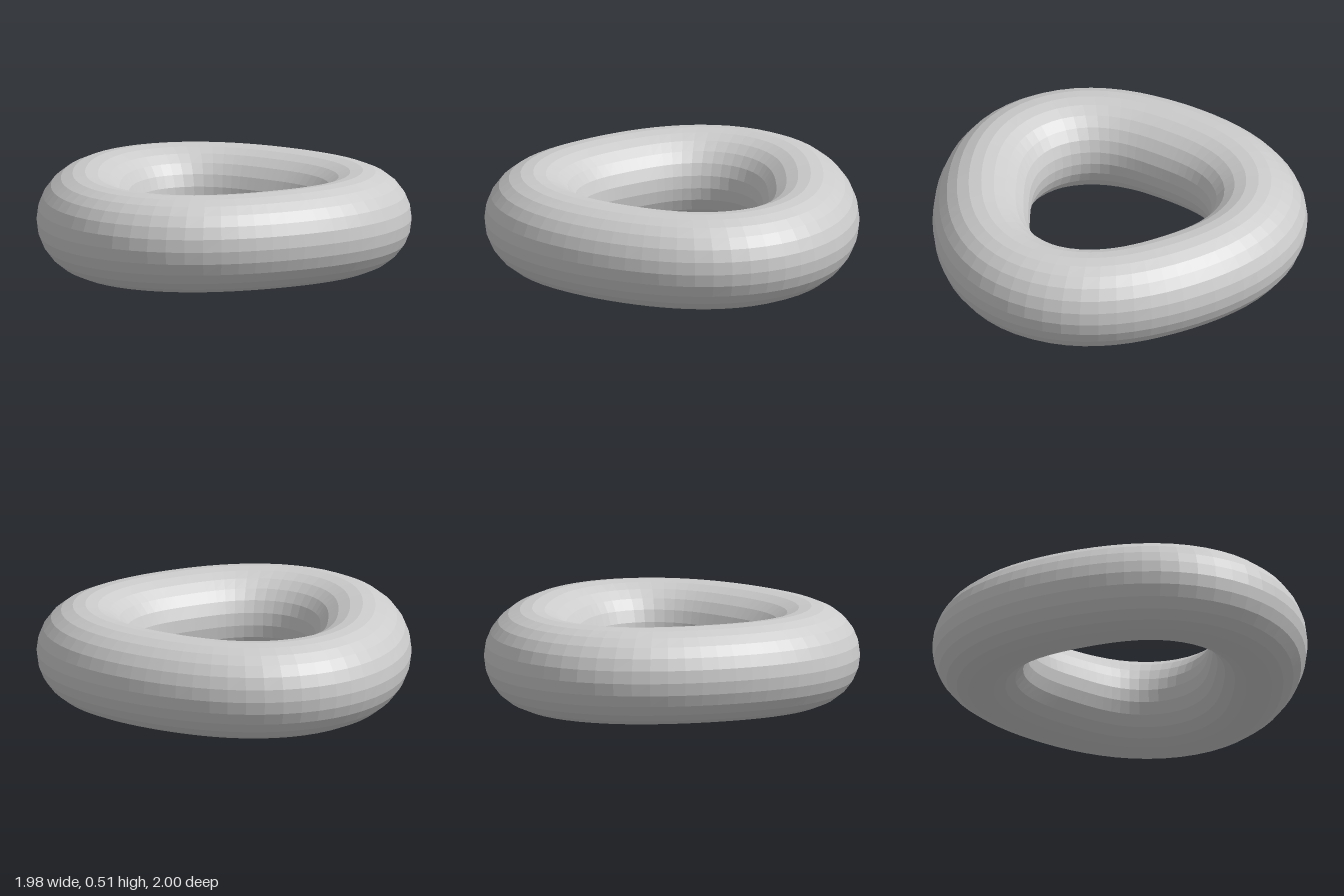
import * as THREE from 'three';

const RING = 0.7335;   // centre-line radius
const TUBE = 0.2575;   // tube radius
const LOBE = 0.044;    // depth of the three-lobed bulge

export function createModel() {
  const group = new THREE.Group();
  group.name = 'lobedRing';

  // Torus laid flat, then pushed outwards along its radius three times per turn
  const geometry = new THREE.TorusGeometry(RING, TUBE, 24, 64);
  geometry.rotateX(-Math.PI / 2);
  const pos = geometry.attributes.position;
  for (let i = 0; i < pos.count; i++) {
    const x = pos.getX(i), z = pos.getZ(i);
    const angle = Math.atan2(z, x);
    const radius = Math.hypot(x, z) + LOBE * Math.cos(3 * angle);
    pos.setX(i, radius * Math.cos(angle) - LOBE);
    pos.setZ(i, radius * Math.sin(angle));
  }
  geometry.translate(0, TUBE, 0);
  geometry.computeVertexNormals();

  const material = new THREE.MeshStandardMaterial({ color: 0xcccccc, flatShading: true });
  const ring = new THREE.Mesh(geometry, material);
  ring.name = 'ring';
  group.add(ring);
  return group;
}
